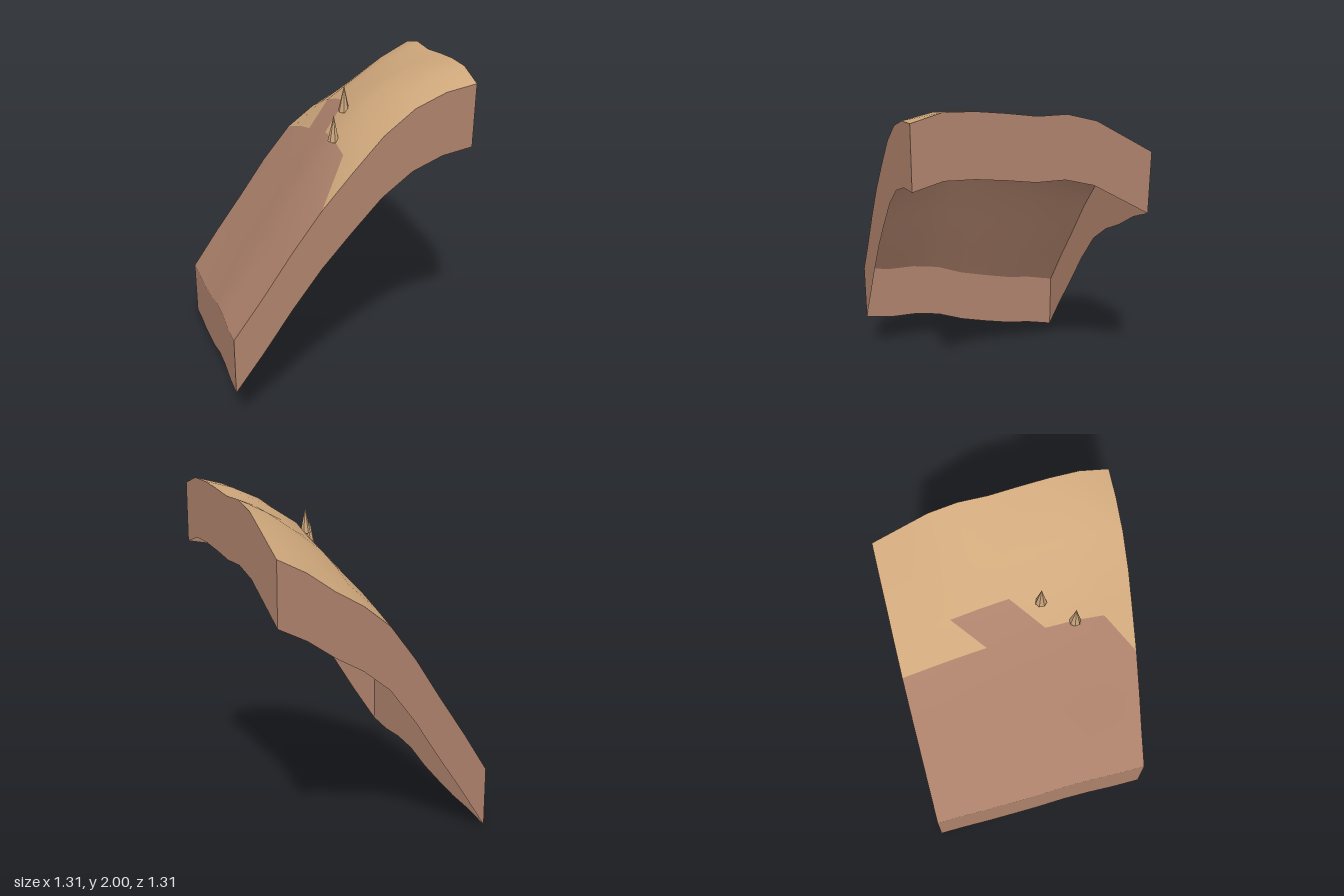
import * as THREE from 'three';

const N = 8, HALF = 0.655, STEP = (2 * HALF) / N, DEPTH = 0.35;

// Edge height profiles: front/back run from -x to +x, low/high run from -z to +z
const front = [0.635, 0.87, 1.12, 1.35, 1.545, 1.73, 1.86, 1.93, 1.96];
const back = [0.355, 0.6, 0.83, 1.07, 1.275, 1.4, 1.49, 1.6, 1.68];
const low = [0.355, 0.395, 0.42, 0.46, 0.505, 0.57, 0.6, 0.605, 0.635];
const high = [1.68, 1.78, 1.88, 1.93, 1.935, 1.965, 1.99, 2.0, 1.96];

const coord = (i) => -HALF + i * STEP;
const mix = (a, b, t) => a + (b - a) * t;

// Blend the four edges across the tile, plus a gentle rise near the spikes
function height(i, j) {
  const u = i / N, v = j / N;
  const corners = mix(mix(back[0], back[N], u), mix(front[0], front[N], u), v);
  const base = mix(low[j], high[j], u) + mix(back[i], front[i], v) - corners;
  if (i % N === 0 || j % N === 0) return base;
  const dx = coord(i) - 0.1, dz = coord(j) - 0.2;
  return base + 0.06 * Math.exp(-(dx * dx + dz * dz) / 0.094);
}

// Which of a cell's two triangles are sand (half 0 = back left, 1 = front right)
function isSand(i, j, half) {
  if (i === 3 && j === 7) return half === 1;
  if (i === 4 && j === 2) return half === 0;
  if (i === 4 && j === 3) return false;
  if (i === 4 && j === 4) return half === 1;
  return i >= 4;
}

function slopeGeometry() {
  const pos = [], earth = [], sand = [];
  for (let j = 0; j <= N; j++)
    for (let i = 0; i <= N; i++) pos.push(coord(i), height(i, j), coord(j));
  for (let j = 0; j < N; j++)
    for (let i = 0; i < N; i++) {
      const a = j * (N + 1) + i, b = a + 1, c = a + N + 1, d = c + 1;
      (isSand(i, j, 0) ? sand : earth).push(a, c, b);
      (isSand(i, j, 1) ? sand : earth).push(b, c, d);
    }
  const g = new THREE.BufferGeometry();
  g.setAttribute('position', new THREE.Float32BufferAttribute(pos, 3));
  g.setIndex([...earth, ...sand]);
  g.addGroup(0, earth.length, 0);
  g.addGroup(earth.length, sand.length, 1);
  g.computeVertexNormals();
  return g;
}

// Vertical strip hanging from one edge; at(k) gives the grid point
function skirtGeometry(at) {
  const pos = [], idx = [];
  for (let k = 0; k <= N; k++) {
    const [i, j] = at(k), y = height(i, j);
    pos.push(coord(i), y, coord(j), coord(i), y - DEPTH, coord(j));
    if (k < N) {
      const a = 2 * k;
      idx.push(a, a + 1, a + 2, a + 2, a + 1, a + 3);
    }
  }
  const g = new THREE.BufferGeometry();
  g.setAttribute('position', new THREE.Float32BufferAttribute(pos, 3));
  g.setIndex(idx);
  g.computeVertexNormals();
  return g;
}

export function createModel() {
  const group = new THREE.Group();
  group.name = 'hillsideTile';
  const earth = new THREE.MeshStandardMaterial({ color: 0xae826c, side: THREE.DoubleSide });
  earth.name = 'earth brown';
  const sand = new THREE.MeshStandardMaterial({ color: 0xd0a87c, side: THREE.DoubleSide });
  sand.name = 'sand';
  const stone = new THREE.MeshStandardMaterial({ color: 0xcaa47b, flatShading: true });
  stone.name = 'spike tan';

  const add = (name, geometry, material) => {
    const mesh = new THREE.Mesh(geometry, material);
    mesh.name = name;
    group.add(mesh);
    return mesh;
  };

  // Curved ground surface, open underneath
  add('slope', slopeGeometry(), [earth, sand]);

  // Side walls
  add('frontSkirt', skirtGeometry((k) => [k, N]), earth);
  add('leftSkirt', skirtGeometry((k) => [N, N - k]), earth);
  add('backSkirt', skirtGeometry((k) => [N - k, 0]), earth);
  add('rightSkirt', skirtGeometry((k) => [0, k]), earth);

  // Small pointed spikes
  const spikes = [[-0.003, 1.587, 0.327], [0.106, 1.683, 0.162]];
  spikes.forEach(([x, y, z], n) => {
    const spike = add('spike' + (n + 1), new THREE.ConeGeometry(0.032, 0.148, 7), stone);
    spike.position.set(x, y + 0.074, z);
    spike.rotation.y = n * 0.6;
  });
  return group;
}
